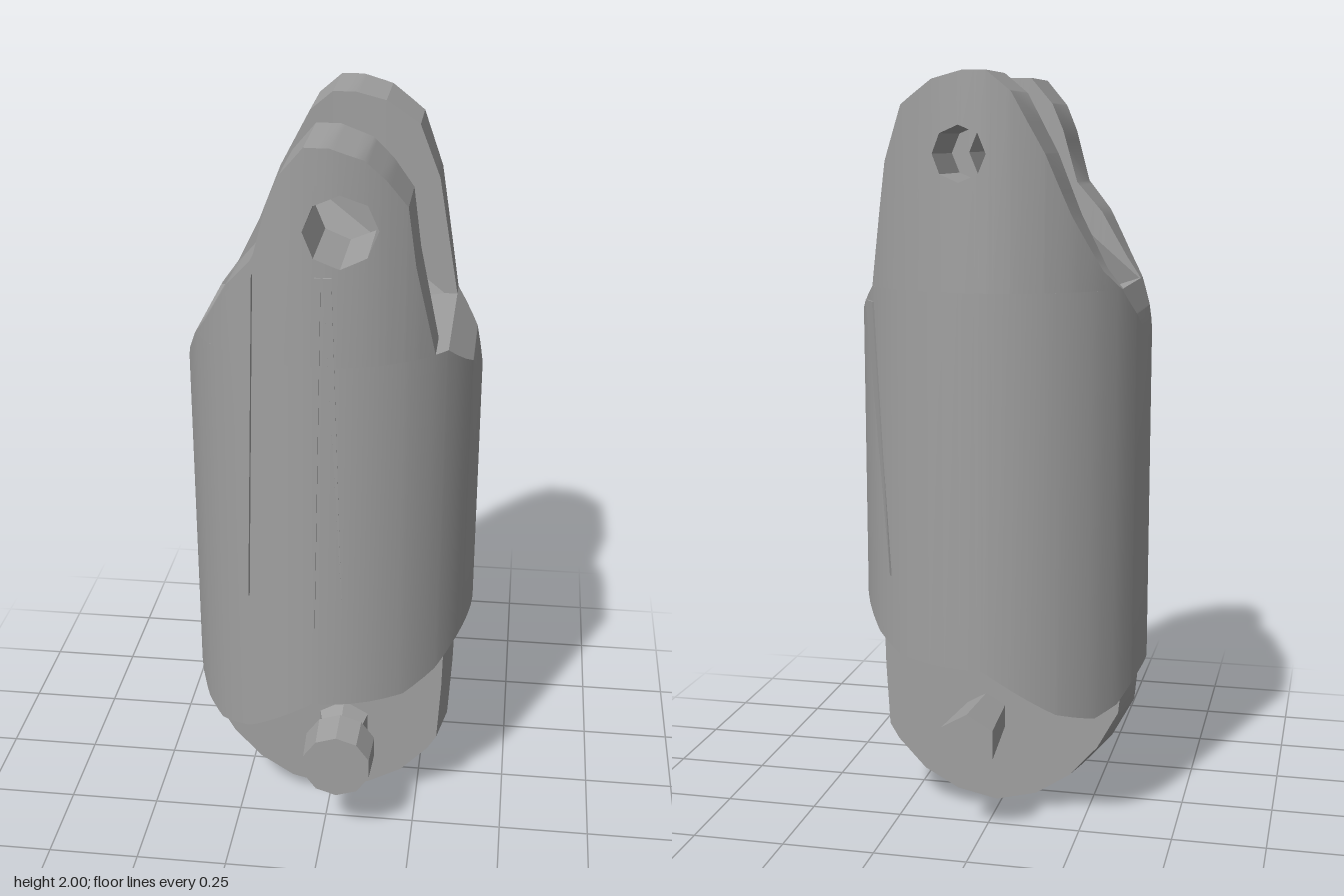
import * as THREE from 'three';
import { toCreasedNormals } from 'three/addons/utils/BufferGeometryUtils.js';
import { ConvexGeometry } from 'three/addons/geometries/ConvexGeometry.js';

const R = 0.39, FLOOR = 1.46;
const arc = x => Math.sqrt(Math.max(0, R * R - x * x));

// Piecewise-linear function through [x, y] points
const line = pts => x => {
  let i = 1;
  while (i < pts.length - 1 && x > pts[i][0]) i++;
  const [a, b] = [pts[i - 1], pts[i]];
  const t = Math.min(1, Math.max(0, (x - a[0]) / (b[0] - a[0])));
  return a[1] + (b[1] - a[1]) * t;
};

// Columns across x: even steps around the cylinder plus the given breakpoints
function columns(from, to, extra) {
  const xs = [from, to, ...extra];
  for (let i = 0; i <= 28; i++) xs.push(-R * Math.cos(i / 28 * Math.PI));
  return xs.filter(x => x >= from && x <= to).sort((a, b) => a - b)
    .filter((x, i, all) => i === 0 || x - all[i - 1] > 0.0005);
}

// Closed solid from a rectangular section at each column
function slab(xs, lo, hi, back, front) {
  const rings = xs.map(x => [[x, lo(x), back(x)], [x, lo(x), front(x)],
    [x, hi(x), front(x)], [x, hi(x), back(x)]]);
  const p = [];
  const quad = (a, b, c, d) => p.push(...a, ...b, ...c, ...a, ...c, ...d);
  for (let i = 0; i < rings.length - 1; i++) {
    for (let k = 0; k < 4; k++) {
      const n = (k + 1) % 4;
      quad(rings[i][k], rings[i + 1][k], rings[i + 1][n], rings[i][n]);
    }
  }
  const e = rings[rings.length - 1];
  quad(...rings[0]);
  quad(e[3], e[2], e[1], e[0]);
  const g = new THREE.BufferGeometry();
  g.setAttribute('position', new THREE.Float32BufferAttribute(p, 3));
  return toCreasedNormals(g, 0.45);
}

export function createModel() {
  const root = new THREE.Group();
  const grey = new THREE.MeshStandardMaterial({ color: 0xa0a0a0 });
  grey.name = 'grey metal';
  const add = (name, geometry, parent = root) => {
    const m = new THREE.Mesh(geometry, grey);
    m.name = name;
    parent.add(m);
    return m;
  };

  // Barrel with a wavy lower rim and rounded shoulders
  const rim = [[-0.39, 0.42], [-0.34, 0.35], [-0.29, 0.33], [-0.2, 0.36], [-0.02, 0.48],
    [0.22, 0.49], [0.3, 0.53], [0.39, 0.62]];
  const shoulder = [[-0.39, 1.32], [-0.37, 1.39], [-0.34, FLOOR], [0.31, FLOOR], [0.37, 1.39], [0.39, 1.32]];
  add('barrel', slab(columns(-R, R, [...rim, ...shoulder].map(q => q[0])),
    line(rim), line(shoulder), x => -arc(x), arc));

  // Fork prongs, each split around its eye hole
  function prong(name, outline, cx, cy, r, back, front) {
    const group = new THREE.Group();
    group.name = name;
    const top = line(outline), stops = outline.map(q => q[0]);
    const half = [];
    for (let i = 0; i <= 4; i++) {
      const a = Math.PI - i * Math.PI / 4;
      half.push([cx + r * Math.cos(a), r * Math.sin(a)]);
    }
    const h = line(half), base = () => FLOOR;
    const x0 = outline[0][0], x1 = outline[outline.length - 1][0];
    const mid = columns(cx - r, cx + r, [...stops, ...half.map(q => q[0])]);
    add('prongSide', slab(columns(x0, cx - r, stops), base, top, back, front), group);
    add('prongSide', slab(columns(cx + r, x1, stops), base, top, back, front), group);
    add('belowEye', slab(mid, base, x => cy - h(x), back, front), group);
    add('aboveEye', slab(mid, x => cy + h(x), top, back, front), group);
    root.add(group);
  }
  prong('frontProng', [[-0.34, 1.46], [-0.3, 1.52], [-0.23, 1.64], [-0.16, 1.72], [-0.12, 1.86], [-0.09, 1.93],
    [-0.03, 2], [0.03, 2], [0.11, 1.97], [0.16, 1.92], [0.21, 1.85], [0.23, 1.7], [0.28, 1.46]],
  0.055, 1.8, 0.09, () => 0.155, arc);
  prong('backProng', [[-0.34, 1.46], [-0.3, 1.51], [-0.23, 1.65], [-0.17, 1.8], [-0.09, 1.95], [-0.03, 2],
    [0.03, 2], [0.11, 1.98], [0.2, 1.92], [0.255, 1.78], [0.31, 1.46]],
  0.04, 1.8, 0.07, x => -arc(x), () => -0.175);

  // Sloping web rising from the fork floor to the back prong
  const V = (x, y, z) => new THREE.Vector3(x, y, z);
  add('forkWeb', new ConvexGeometry([V(-0.34, 1.455, 0.16), V(-0.08, 1.75, -0.178),
    V(0.3, 1.455, -0.185), V(-0.3, 1.455, -0.185)]));

  // Thin tapering facets on the barrel wall: [x, y] corners on the front (1) or back (-1)
  const facets = [
    [1, [-0.23, 1.62], [-0.16, 1.68], [-0.19, 0.78]],
    [1, [-0.005, 1.69], [0.01, 1.69], [-0.01, 0.72]],
    [1, [0.015, 1.69], [0.035, 1.69], [0.06, 0.8]],
    [-1, [0.335, 1.42], [0.305, 1.42], [0.25, 0.7]],
  ];
  for (const [side, ...corners] of facets) {
    const pts = corners.flatMap(([x, y]) => [1.014, 0.99].map(s => V(x * s, y, side * arc(x) * s)));
    add('wallFacet', new ConvexGeometry(pts));
  }

  // Rounded tongue with a slight ridge along its rim
  const tongue = new THREE.Shape([[-0.36, 0.65], [-0.37, 0.4], [-0.36, 0.3], [-0.3, 0.19], [-0.22, 0.1],
    [-0.12, 0.035], [0, 0.005], [0.12, 0.03], [0.22, 0.085], [0.3, 0.17], [0.33, 0.22], [0.34, 0.4],
    [0.345, 0.65]].map(q => new THREE.Vector2(...q)));
  const tongueGeo = new THREE.ExtrudeGeometry(tongue, {
    depth: 0.01, bevelThickness: 0.138, bevelSize: 0.024, bevelOffset: -0.024, bevelSegments: 1,
  });
  tongueGeo.translate(0, 0, -0.005);
  add('tongue', toCreasedNormals(tongueGeo, 0.45));

  // Cross pin: faceted lengths along z from z0 to z1
  function pin(name, x, y, r0, r1, z0, z1, sides) {
    const g = new THREE.CylinderGeometry(r1, r0, z1 - z0, sides).rotateX(Math.PI / 2);
    g.translate(x, y, (z0 + z1) / 2);
    add(name, toCreasedNormals(g, 0.3));
  }
  pin('pinCollar', 0.04, 0.25, 0.085, 0.05, 0.12, 0.25, 6);
  pin('pinNeck', 0.04, 0.265, 0.05, 0.085, 0.24, 0.29, 8);
  pin('pinHead', 0.045, 0.275, 0.1, 0.095, 0.28, 0.385, 10);
  pin('pinShank', 0.03, 0.275, 0.08, 0.06, -0.37, -0.13, 6);

  return root;
}
